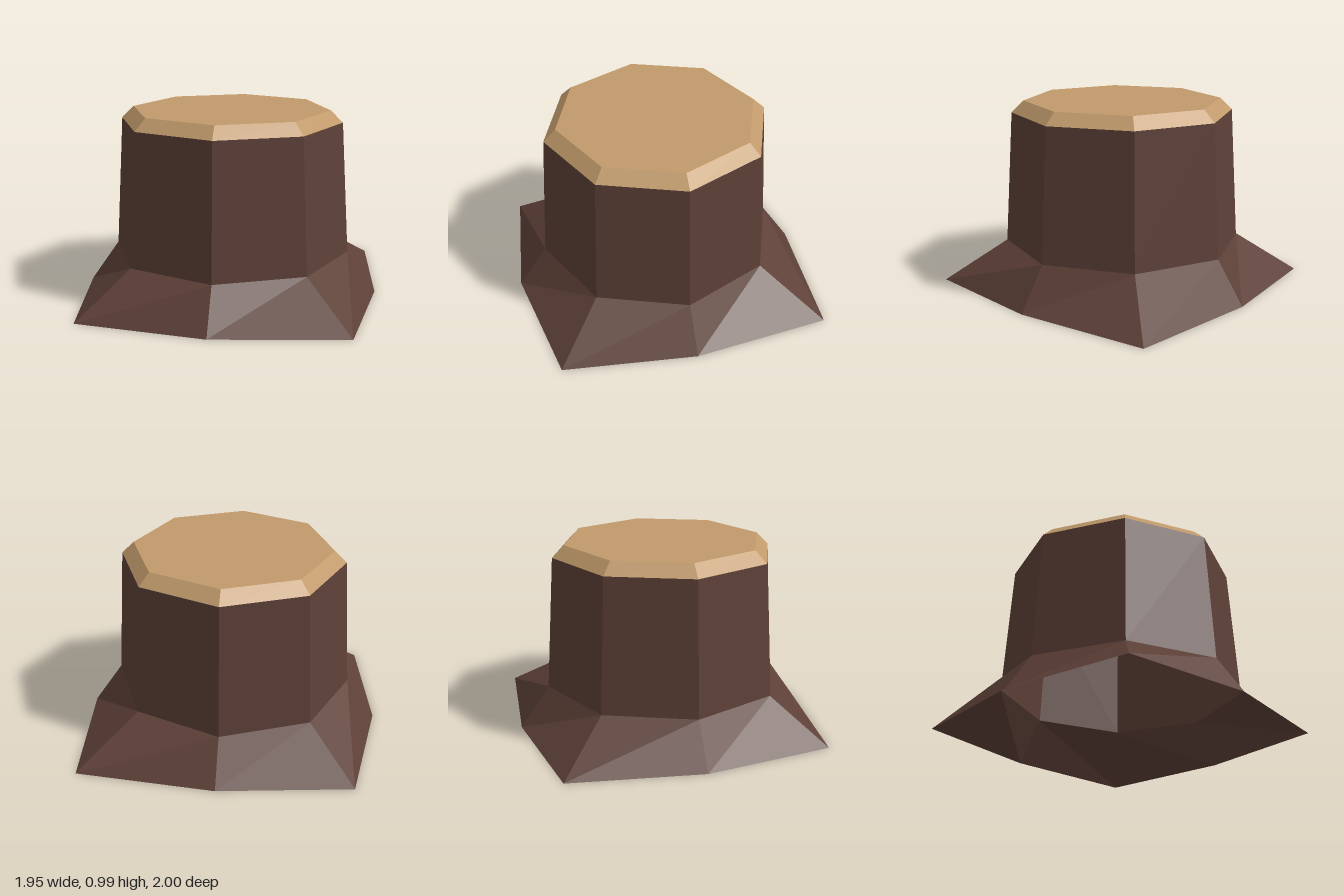
import * as THREE from 'three';

export function createModel() {
  const bark = new THREE.MeshStandardMaterial({ name: 'bark', color: 0x5d4037, flatShading: true, side: THREE.DoubleSide });
  const wood = new THREE.MeshStandardMaterial({ name: 'cutWood', color: 0xc19a6b, flatShading: true, side: THREE.DoubleSide });
  const SIDES = 8;
  const stump = new THREE.Group();
  stump.name = 'treeStump';

  // Open eight-sided ring between two heights
  function ring(topRadius, bottomRadius, y0, y1) {
    const g = new THREE.CylinderGeometry(topRadius, bottomRadius, y1 - y0, SIDES, 1, true);
    return g.translate(0, (y0 + y1) / 2, 0);
  }

  function add(name, geometry, material) {
    const mesh = new THREE.Mesh(geometry, material);
    mesh.name = name;
    mesh.position.set(-0.003, 0, 0.027);
    stump.add(mesh);
  }

  // Flared roots: the four axis corners reach out further than the diagonals
  const roots = ring(0.635, 0.788, 0, 0.22);
  const p = roots.attributes.position;
  for (let i = 0; i < p.count; i++) {
    if (p.getY(i) > 0.1) continue;
    const x = p.getX(i), z = p.getZ(i);
    if (Math.abs(x) < 0.01) p.setZ(i, z > 0 ? 0.97 : -1.025);
    else if (Math.abs(z) < 0.01) p.setX(i, Math.sign(x) * 0.977);
  }
  add('roots', roots, bark);

  // Tapered trunk, open underneath
  add('trunk', ring(0.592, 0.635, 0.22, 0.922), bark);

  // Bevelled edge and flat face of the cut
  add('cutBevel', ring(0.528, 0.592, 0.922, 0.985), wood);
  const face = new THREE.CircleGeometry(0.528, SIDES).rotateX(-Math.PI / 2).translate(0, 0.985, 0);
  add('cutFace', face, wood);

  return stump;
}
